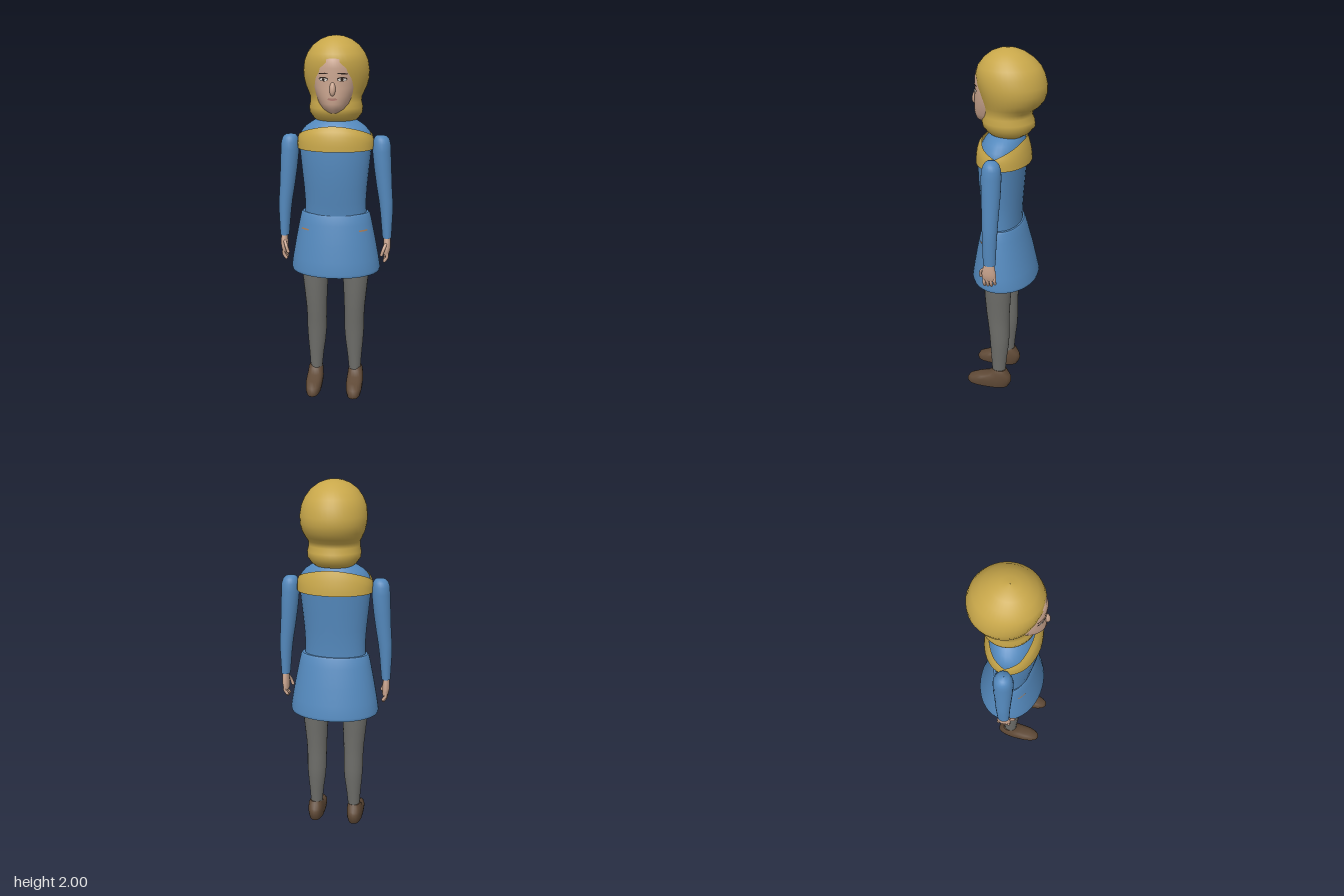
import * as THREE from 'three';

const mat = (name, color, side = THREE.FrontSide) => {
  const m = new THREE.MeshStandardMaterial({ color, side });
  m.name = name;
  return m;
};

// Cross-sections are [y, half width, front z, back z, centre x], listed from top to bottom.
function sectionAt(rows, y) {
  let i = 0;
  while (i < rows.length - 2 && y < rows[i + 1][0]) i++;
  const a = rows[i], b = rows[i + 1];
  const t = THREE.MathUtils.clamp((y - a[0]) / (b[0] - a[0]), 0, 1);
  return [y, ...[1, 2, 3, 4].map(k => (a[k] ?? 0) + ((b[k] ?? 0) - (a[k] ?? 0)) * t)];
}

// Skin over elliptical sections; `top` may lower the upper edge by angle.
function loft(rows, { seg = 32, a0 = 0, a1 = Math.PI * 2, pow = 1, top = null, capTop = false, capBottom = false } = {}) {
  const full = a1 - a0 > 6.28, cols = full ? seg : seg + 1;
  const pos = [], idx = [], n = rows.length, end = rows[n - 1][0];
  const bend = v => Math.sign(v) * Math.pow(Math.abs(v), pow);
  const point = (i, j) => {
    const a = a0 + (a1 - a0) * j / seg;
    const row = top ? sectionAt(rows, top(a) + (end - top(a)) * i / (n - 1)) : rows[i];
    const [y, rx, zf, zb, cx = 0] = row;
    return [cx + rx * bend(Math.sin(a)), y, (zf + zb) / 2 + (zf - zb) / 2 * bend(Math.cos(a))];
  };
  for (let i = 0; i < n; i++) for (let j = 0; j < cols; j++) pos.push(...point(i, j));
  for (let i = 0; i < n - 1; i++) for (let j = 0; j < seg; j++) {
    const k = (j + 1) % cols, a = i * cols, b = a + cols;
    idx.push(a + j, b + j, b + k, a + j, b + k, a + k);
  }
  const cap = (i, up) => {
    const c = pos.length / 3, [y, , zf, zb, cx = 0] = rows[i];
    pos.push(cx, y, (zf + zb) / 2);
    for (let j = 0; j < cols; j++) pos.push(...point(i, j));
    for (let j = 0; j < seg; j++) {
      const p = c + 1 + j, q = c + 1 + (j + 1) % cols;
      idx.push(c, up ? p : q, up ? q : p);
    }
  };
  if (capTop) cap(0, true);
  if (capBottom) cap(n - 1, false);
  const g = new THREE.BufferGeometry();
  g.setAttribute('position', new THREE.Float32BufferAttribute(pos, 3));
  g.setIndex(idx);
  g.computeVertexNormals();
  return g;
}

export function createModel() {
  const blue = mat('blue cloth', 0x5489bd, THREE.DoubleSide);
  const gold = mat('gold scarf', 0xc8a74a, THREE.DoubleSide);
  const skin = mat('skin', 0xc9a48e, THREE.DoubleSide);
  const grey = mat('grey trousers', 0x6e6e6a);
  const brown = mat('brown shoe', 0x5f4936);
  const dark = mat('dark brow', 0x2e221c, THREE.DoubleSide);
  const white = mat('eye white', 0xd8d2cb, THREE.DoubleSide);
  const rose = mat('lip', 0xb07c70, THREE.DoubleSide);
  const tan = mat('pocket trim', 0xa87b55, THREE.DoubleSide);

  const model = new THREE.Group();
  const add = (name, geo, material, parent = model) => {
    const m = new THREE.Mesh(geo, material);
    m.name = name;
    parent.add(m);
    return m;
  };
  const V = (x, y, z) => new THREE.Vector3(x, y, z);

  // Head scarf
  add('headScarf', loft([
    [2, 0.001, -0.008, -0.01], [1.995, 0.04, 0.035, -0.055], [1.98, 0.08, 0.075, -0.095],
    [1.95, 0.122, 0.115, -0.14], [1.91, 0.152, 0.145, -0.18], [1.87, 0.169, 0.155, -0.2],
    [1.82, 0.176, 0.148, -0.213], [1.78, 0.174, 0.138, -0.213], [1.74, 0.164, 0.128, -0.2],
    [1.71, 0.15, 0.12, -0.175], [1.685, 0.138, 0.116, -0.142], [1.66, 0.137, 0.117, -0.137],
    [1.63, 0.144, 0.127, -0.15], [1.6, 0.141, 0.122, -0.153], [1.57, 0.12, 0.095, -0.128],
    [1.553, 0.1, 0.07, -0.1],
  ], { seg: 40, capBottom: true }), gold);

  // Face, with details laid on its surface
  const face = new THREE.Group();
  face.name = 'face';
  model.add(face);
  const faceRows = [
    [1.91, 0.05, 0.12], [1.885, 0.085, 0.157], [1.84, 0.106, 0.165], [1.79, 0.115, 0.162], [1.74, 0.112, 0.165],
    [1.7, 0.1, 0.168], [1.66, 0.086, 0.167], [1.63, 0.068, 0.157], [1.61, 0.04, 0.13],
  ].map(([y, w, zf]) => [y, w, zf, 0.08 - zf]);
  add('faceSurface', loft(faceRows, { seg: 28, a0: -Math.PI / 2, a1: Math.PI / 2 }), skin, face);
  const faceZ = (x, y) => {
    const [, w, zf] = sectionAt(faceRows, y);
    return 0.04 + (zf - 0.04) * Math.sqrt(Math.max(0, 1 - (x / w) ** 2));
  };
  const decal = (name, x, y, rx, ry, lift, material, tilt = 0) => {
    const g = new THREE.CircleGeometry(1, 20);
    g.scale(rx, ry, 1).rotateZ(tilt).translate(x, y, 0);
    const p = g.attributes.position;
    for (let i = 0; i < p.count; i++) p.setZ(i, faceZ(p.getX(i), p.getY(i)) + lift);
    g.computeVertexNormals();
    add(name, g, material, face);
  };
  for (const s of [1, -1]) {
    decal('eyelid', s * 0.048, 1.787, 0.026, 0.011, 0.002, dark);
    decal('eye', s * 0.048, 1.785, 0.022, 0.007, 0.003, white);
    decal('iris', s * 0.048, 1.785, 0.007, 0.007, 0.004, dark);
    decal('brow', s * 0.05, 1.815, 0.027, 0.0035, 0.003, dark, -s * 0.1);
  }
  decal('lips', 0, 1.686, 0.026, 0.007, 0.003, rose);
  const nose = add('nose', new THREE.SphereGeometry(1, 16, 12), skin, face);
  nose.scale.set(0.016, 0.036, 0.018);
  nose.position.set(0, 1.738, 0.164);
  nose.rotation.x = -0.2;

  // Tunic body and shoulder cape
  add('tunicBody', loft([
    [1.57, 0.095, 0.07, -0.075], [1.55, 0.13, 0.092, -0.09], [1.53, 0.16, 0.11, -0.097],
    [1.5, 0.186, 0.128, -0.107], [1.46, 0.195, 0.142, -0.113], [1.41, 0.194, 0.148, -0.11],
    [1.3, 0.183, 0.145, -0.101], [1.2, 0.173, 0.136, -0.093], [1.12, 0.168, 0.126, -0.088],
    [1.055, 0.17, 0.118, -0.087], [1, 0.17, 0.115, -0.087],
  ], { capTop: true }), blue);
  add('shoulderCape', loft([
    [1.56, 0.12, 0.09, -0.092], [1.54, 0.158, 0.118, -0.108], [1.51, 0.188, 0.142, -0.12],
    [1.47, 0.204, 0.153, -0.13], [1.44, 0.207, 0.156, -0.135], [1.41, 0.207, 0.157, -0.137],
  ], { seg: 48, top: a => 1.475 + 0.065 * Math.abs(Math.cos(a)) }), gold);

  // Skirt with pocket slits
  const skirt = [
    [1.057, 0.183, 0.114, -0.095], [1.048, 0.191, 0.122, -0.102], [1, 0.202, 0.135, -0.118],
    [0.9, 0.222, 0.157, -0.146], [0.8, 0.24, 0.175, -0.17], [0.735, 0.25, 0.185, -0.185], [0.718, 0.246, 0.181, -0.181],
  ];
  add('skirt', loft(skirt, { seg: 40, capTop: true }), blue);
  const slit = [0.975, 0.967].map(y => {
    const [, rx, zf, zb] = sectionAt(skirt, y);
    return [y, rx + 0.003, zf + 0.003, zb - 0.003];
  });

  for (const s of [1, -1]) {
    const side = new THREE.Group();
    side.name = s > 0 ? 'leftLimbs' : 'rightLimbs';
    model.add(side);
    const place = rows => rows.map(([y, rx, zf, zb, cx]) => [y, rx, zf, zb, s * cx]);
    const mid = s * 0.87;
    add('pocketSlit', loft(slit, { seg: 10, a0: mid - 0.16, a1: mid + 0.16 }), tan, side);

    // Sleeve
    add('sleeve', loft(place([
      [1.485, 0.001, 0.021, 0.019, 0.243], [1.48, 0.028, 0.045, -0.008, 0.244], [1.465, 0.041, 0.057, -0.024, 0.247],
      [1.44, 0.047, 0.066, -0.033, 0.249], [1.4, 0.05, 0.07, -0.036, 0.249], [1.3, 0.047, 0.068, -0.033, 0.257],
      [1.2, 0.042, 0.064, -0.026, 0.267], [1.12, 0.038, 0.061, -0.022, 0.277], [1.05, 0.034, 0.059, -0.018, 0.282],
      [0.915, 0.025, 0.055, -0.012, 0.286],
    ]), { seg: 24, capBottom: true }), blue, side);

    // Hand with curled fingers
    add('palm', loft(place([
      [0.93, 0.017, 0.045, -0.002, 0.286], [0.895, 0.019, 0.056, -0.009, 0.288], [0.86, 0.02, 0.064, -0.015, 0.288],
      [0.83, 0.018, 0.062, -0.015, 0.285], [0.815, 0.011, 0.055, -0.01, 0.284],
    ]), { seg: 18, capBottom: true }), skin, side);
    const finger = (name, pts, r) => {
      const path = new THREE.CatmullRomCurve3(pts);
      add(name, new THREE.TubeGeometry(path, 8, r, 8), skin, side);
      add(name + 'Tip', new THREE.SphereGeometry(r, 8, 6), skin, side).position.copy(pts[pts.length - 1]);
    };
    for (let k = 0; k < 4; k++) {
      const z = -0.006 + 0.019 * k, d = k === 0 ? 0.012 : 0;
      finger('finger', [V(s * 0.287, 0.84, z), V(s * 0.29, 0.808 + d, z), V(s * 0.276, 0.785 + d, z)], 0.009);
    }
    finger('thumb', [V(s * 0.282, 0.885, 0.052), V(s * 0.27, 0.858, 0.073), V(s * 0.26, 0.828, 0.076)], 0.009);

    // Leg
    add('leg', loft(place([
      [0.95, 0.078, 0.1, -0.065, 0.115], [0.72, 0.075, 0.1, -0.06, 0.115], [0.6, 0.066, 0.094, -0.052, 0.112],
      [0.5, 0.059, 0.087, -0.046, 0.109], [0.42, 0.056, 0.078, -0.044, 0.108], [0.35, 0.056, 0.071, -0.045, 0.108],
      [0.28, 0.051, 0.067, -0.041, 0.109], [0.2, 0.042, 0.061, -0.031, 0.111], [0.08, 0.032, 0.055, -0.02, 0.113],
    ]), { seg: 24 }), grey, side);

    // Shoe
    add('shoe', loft(place([
      [0.118, 0.034, 0.05, -0.026, 0.116], [0.1, 0.041, 0.062, -0.036, 0.117], [0.078, 0.044, 0.095, -0.05, 0.117],
      [0.064, 0.046, 0.15, -0.057, 0.117], [0.045, 0.048, 0.198, -0.06, 0.117], [0.02, 0.046, 0.212, -0.052, 0.117],
      [0, 0.042, 0.205, -0.04, 0.117],
    ]), { seg: 20, pow: 0.8, capTop: true, capBottom: true }), brown, side);
  }
  return model;
}
